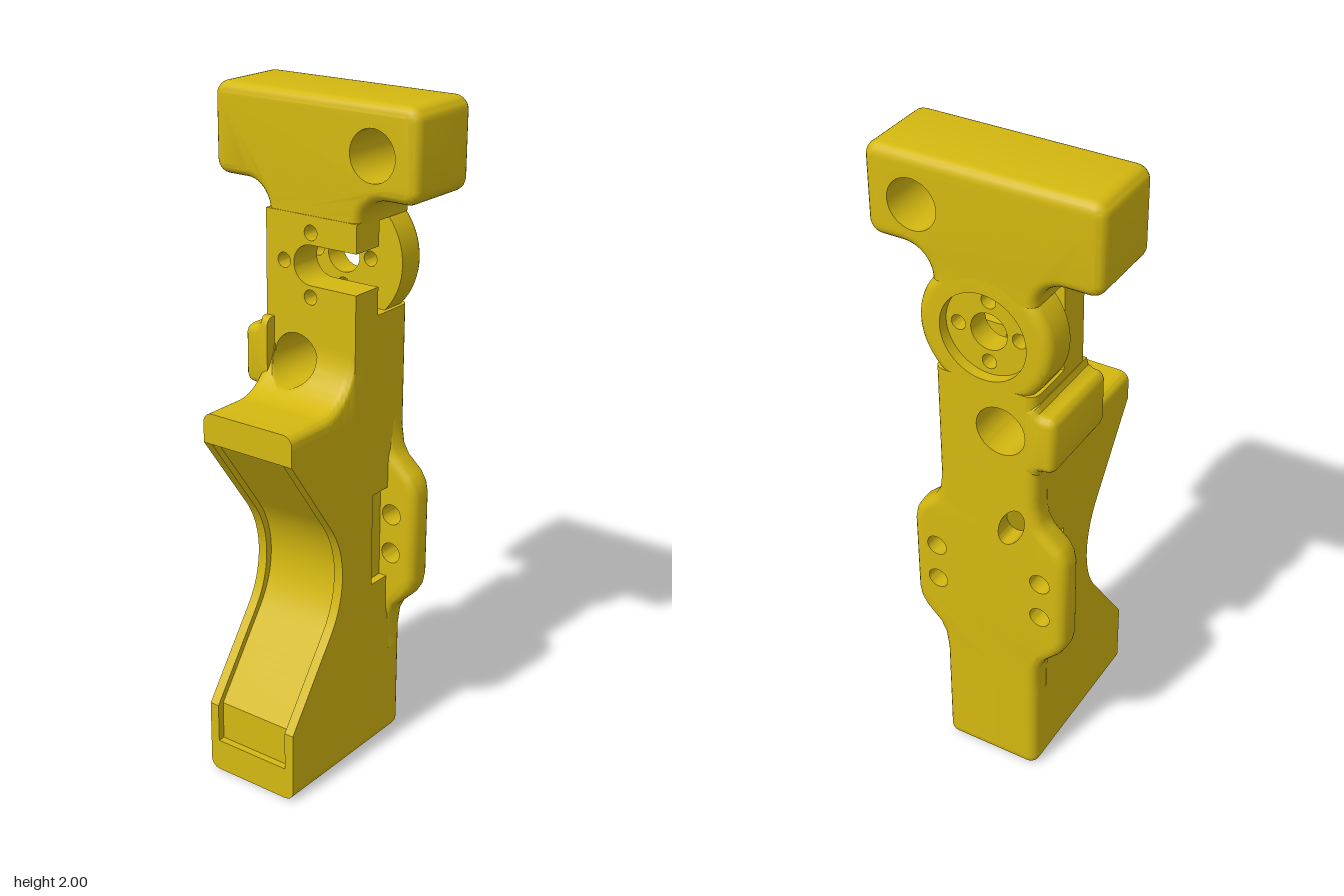
import * as THREE from 'three';
import { mergeGeometries, toCreasedNormals } from 'three/addons/utils/BufferGeometryUtils.js';

const yellow = new THREE.MeshStandardMaterial({ color: 0xd4b810 });
yellow.name = 'yellow';

const V = (x, y) => new THREE.Vector2(x, y);
const HALF = 0.155; // half width of the grip and column
const R = 0.03;     // edge rounding

// Surface through rows of [x, y, z] points
function skin(rows, closed) {
  const pos = [];
  for (let i = 0; i < rows.length - 1; i++) {
    const n = rows[i].length;
    for (let j = 0; j < (closed ? n : n - 1); j++) {
      const k = (j + 1) % n;
      const a = rows[i][j], b = rows[i][k], c = rows[i + 1][k], d = rows[i + 1][j];
      pos.push(...a, ...b, ...c, ...a, ...c, ...d);
    }
  }
  return new THREE.BufferGeometry().setAttribute('position', new THREE.Float32BufferAttribute(pos, 3));
}

// Moves a counterclockwise outline inwards by d
function inset(pts, d) {
  const n = pts.length;
  const normal = (p, q) => V(p.y - q.y, q.x - p.x).normalize();
  return pts.map((p, i) => {
    const n1 = normal(pts[(i + n - 1) % n], p), n2 = normal(p, pts[(i + 1) % n]);
    return n1.clone().add(n2).multiplyScalar(d / Math.max(0.3, 1 + n1.dot(n2))).add(p);
  });
}

// Slab along x from an outline in (u = -z, v = y), with sharp holes and rounded rims b0, b1
function slab(pts, holes, x0, x1, b0 = 0, b1 = 0, box = null) {
  const levels = [];
  const steps = 5;
  for (let k = 0; k <= steps; k++) {
    const a = (k / steps) * Math.PI / 2;
    if (b0 || !k) levels.push([x0 + b0 * (1 - Math.cos(a)), b0 * (1 - Math.sin(a))]);
  }
  for (let k = steps; k >= 0; k--) {
    const a = (k / steps) * Math.PI / 2;
    if (b1 || !k) levels.push([x1 - b1 * (1 - Math.cos(a)), b1 * (1 - Math.sin(a))]);
  }
  const shrink = d => inset(pts, d).map(p => (box ? box.clampPoint(p, p) : p));
  const at = x => p => [x, p.y, -p.x];
  const parts = [skin(levels.map(([x, d]) => shrink(d).map(at(x))), true)];
  for (const h of holes) {
    const back = [...h].reverse();
    parts.push(skin([x0, x1].map(x => back.map(at(x))), true));
  }
  for (const [x, d, flip] of [[x0, b0, true], [x1, b1, false]]) {
    const shape = new THREE.Shape(shrink(d));
    shape.holes = holes.map(h => new THREE.Path(h));
    const cap = new THREE.ShapeGeometry(shape);
    if (flip) cap.index.array.reverse();
    cap.rotateY(Math.PI / 2).translate(x, 0, 0);
    cap.deleteAttribute('uv');
    cap.deleteAttribute('normal');
    parts.push(cap.toNonIndexed());
  }
  return mergeGeometries(parts);
}

const arc = (u, v, r, from, to, n) => Array.from({ length: n + 1 }, (_, i) => {
  const a = (from + (to - from) * i / n) * Math.PI / 180;
  return V(u + r * Math.cos(a), v + r * Math.sin(a));
});
const circle = (u, v, r, n = 36) => arc(u, v, r, 0, 360, n).slice(0, -1);
const mirrored = half => [...half, ...[...half].reverse().map(p => V(-p.x, p.y))];
const limits = (u0, v0, u1, v1) => new THREE.Box2(V(u0, v0), V(u1, v1));

// Concave rear edge of the grip
function gripEdge(y) {
  const dy = Math.abs(y - 0.64), r = 0.29;
  if (dy < 0.17) return -0.04 - r + Math.sqrt(r * r - dy * dy);
  return Math.max(-0.275, -0.095 - 0.72 * (dy - 0.17));
}

// Grip: stacked cross-sections with a rear channel and two side pockets
function gripGeometry() {
  const breaks = [0, 0.035, 0.22, 0.3, 0.555, 0.845, 1.06, 1.11];
  const rows = [];
  for (let s = 0; s < breaks.length - 1; s++) {
    const mid = (breaks[s] + breaks[s + 1]) / 2;
    const depth = mid > 0.035 && mid < 1.06 ? 0.022 : 0;
    const pocket = mid > 0.555 && mid < 0.845 ? 0.025 : 0;
    for (let k = 0; k <= 12; k++) {
      const y = breaks[s] + (breaks[s + 1] - breaks[s]) * k / 12;
      const t = Math.max(0, R - y);
      const e = R - Math.sqrt(R * R - t * t);
      const w = HALF - e, f = gripEdge(y);
      const front = (mid < 0.3 ? 0.27 : 0.2) - e;
      const r = mid < 0.3 ? R - e : 0;
      const side = [[f, w], [0.105, w], [0.105, w - pocket]];
      for (let q = 0; q <= 5; q++) {
        const a = (q / 5) * Math.PI / 2;
        side.push([front - r + r * Math.sin(a), w - pocket - r + r * Math.cos(a)]);
      }
      const ring = [...side, ...[...side].reverse().map(([x, z]) => [x, -z])];
      ring.push([f, -0.125], [f + depth, -0.125], [f + depth, 0.125], [f, 0.125]);
      rows.push(ring.map(([x, z]) => [x, y, z]));
    }
  }
  return skin(rows, true);
}

// Shelf above the grip, sweeping up into the column and scooped by the cross hole
function shelfGeometry() {
  const zs = [];
  for (let k = 8; k >= 0; k--) zs.push([0.125 + R * Math.sin(k * Math.PI / 16), 9]);
  zs.push([0.025, 9]);
  for (let k = 0; k <= 24; k++) {
    const a = k * Math.PI / 24;
    zs.push([-0.05 + 0.075 * Math.cos(a), 1.25 - 0.075 * Math.sin(a)]);
  }
  for (let k = 0; k <= 8; k++) zs.push([-0.125 - R * Math.sin(k * Math.PI / 16), 9]);
  const profile = [[-0.275, 1.15]];
  for (let k = 0; k <= 24; k++) {
    const a = k * Math.PI / 48;
    profile.push([-0.14 + 0.15 * Math.sin(a), 1.3 - 0.15 * Math.cos(a)]);
  }
  profile.push([0.05, 1.3]);
  const rows = zs.map(([z, limit]) => {
    const t = Math.max(0, Math.abs(z) - 0.125);
    const e = R - Math.sqrt(Math.max(0, R * R - t * t));
    return [[-0.275, 1.1, z], ...profile.map(([x, y]) => [x, Math.min(y - e, limit), z])];
  });
  const skirt = row => row.map(([x, , z]) => [x, 1.1, z]);
  return skin([skirt(rows[0]), ...rows, skirt(rows[rows.length - 1])], false);
}

export function createModel() {
  const group = new THREE.Group();
  const add = (name, geometry) => {
    const mesh = new THREE.Mesh(toCreasedNormals(geometry, 0.6), yellow);
    mesh.name = name;
    group.add(mesh);
    return mesh;
  };

  add('grip', gripGeometry());
  add('gripShelf', shelfGeometry());

  // Base with its blind hole
  const base = [V(-0.125, -0.275), V(0.125, -0.275), V(0.125, 0.24), V(-0.125, 0.24)];
  add('gripBase', slab(base, [circle(0, 0.11, 0.064)], -0.1, 0).rotateZ(-Math.PI / 2));
  add('baseHoleFloor', new THREE.BoxGeometry(0.2, 0.02, 0.2)).position.set(0.11, 0.11, 0);

  // Winged front plate with four screw holes and a slanted bore
  const wing = mirrored([[0.155, 0.2], [0.155, 0.36], [0.163, 0.42], [0.18, 0.455], [0.225, 0.5],
    [0.243, 0.53], [0.25, 0.565], [0.25, 0.83], [0.243, 0.865], [0.225, 0.895], [0.18, 0.935],
    [0.163, 0.965], [0.155, 1.02], [0.155, 1.12]].map(p => V(...p)));
  const screws = [-0.17, 0.17].flatMap(u => [0.635, 0.76].map(v => circle(u, v, 0.032, 24)));
  const bore = new THREE.Path().absellipse(0.08, 0.93, 0.035, 0.07, 0, Math.PI * 2, false, -0.4)
    .getPoints(32).slice(0, -1);
  add('wingPlate', slab(wing, [...screws, bore], 0.18, 0.27, R, R, limits(-1, 0.3, 1, 1.06)));
  const floor = add('boreFloor', new THREE.BoxGeometry(0.01, 0.15, 0.1));
  floor.position.set(0.225, 0.93, -0.08);
  floor.rotation.z = -0.43;

  // Column with the large cross hole, and the lug beside it
  const column = mirrored([V(HALF, 1), V(HALF, 1.45)]);
  add('column', slab(column, [circle(0.05, 1.25, 0.075, 48)], 0.01, 0.27, 0, R, limits(-1, 1.05, 1, 1.39)));
  const lug = [[0.09, 1.13], [0.157, 1.13], [0.163, 1.148], [0.175, 1.153], [0.195, 1.155],
    [0.207, 1.165], [0.212, 1.18], [0.212, 1.305], [0.207, 1.32], [0.195, 1.33], [0.175, 1.332],
    [0.163, 1.34], [0.157, 1.36], [0.09, 1.36]].map(p => V(...p));
  add('sideLug', slab(lug, [], -0.025, 0.27, 0.025, 0.025, limits(0.128, 1, 1, 2)));

  // Rear cheek beside the slot, with an open shaft notch
  const boltHole = (u, v) => circle(u, 1.53 + v, 0.022, 20);
  const bolts = [boltHole(0, 0.092), boltHole(0, -0.092), boltHole(0.092, 0)];
  const cheek = [V(-HALF, 1.38), V(HALF, 1.38), V(HALF, 1.67), V(-HALF, 1.67), V(-HALF, 1.588),
    ...arc(0, 1.53, 0.058, 90, -90, 20), V(-HALF, 1.472)];
  add('rearCheek', slab(cheek, bolts, 0.01, 0.115));

  // Round boss with recessed web
  add('bossRing', slab(circle(0, 1.53, 0.2, 64), [circle(0, 1.53, 0.13, 48)], 0.165, 0.27, 0, R));
  add('bossWeb', slab(circle(0, 1.53, 0.131, 48),
    [circle(0, 1.53, 0.055), ...bolts, boltHole(-0.092, 0)], 0.165, 0.237));

  // Crosswise head on a flared neck
  const head = mirrored([V(HALF, 1.6), ...arc(0.235, 1.66, 0.08, 180, 90, 10),
    ...arc(0.302, 1.78, 0.04, -90, 0, 6), ...arc(0.302, 1.96, 0.04, 0, 90, 6)]);
  add('head', slab(head, [circle(-0.2, 1.86, 0.073, 48)], 0.012, 0.27, R, R, limits(-1, 1.66, 1, 2)));

  return group;
}
